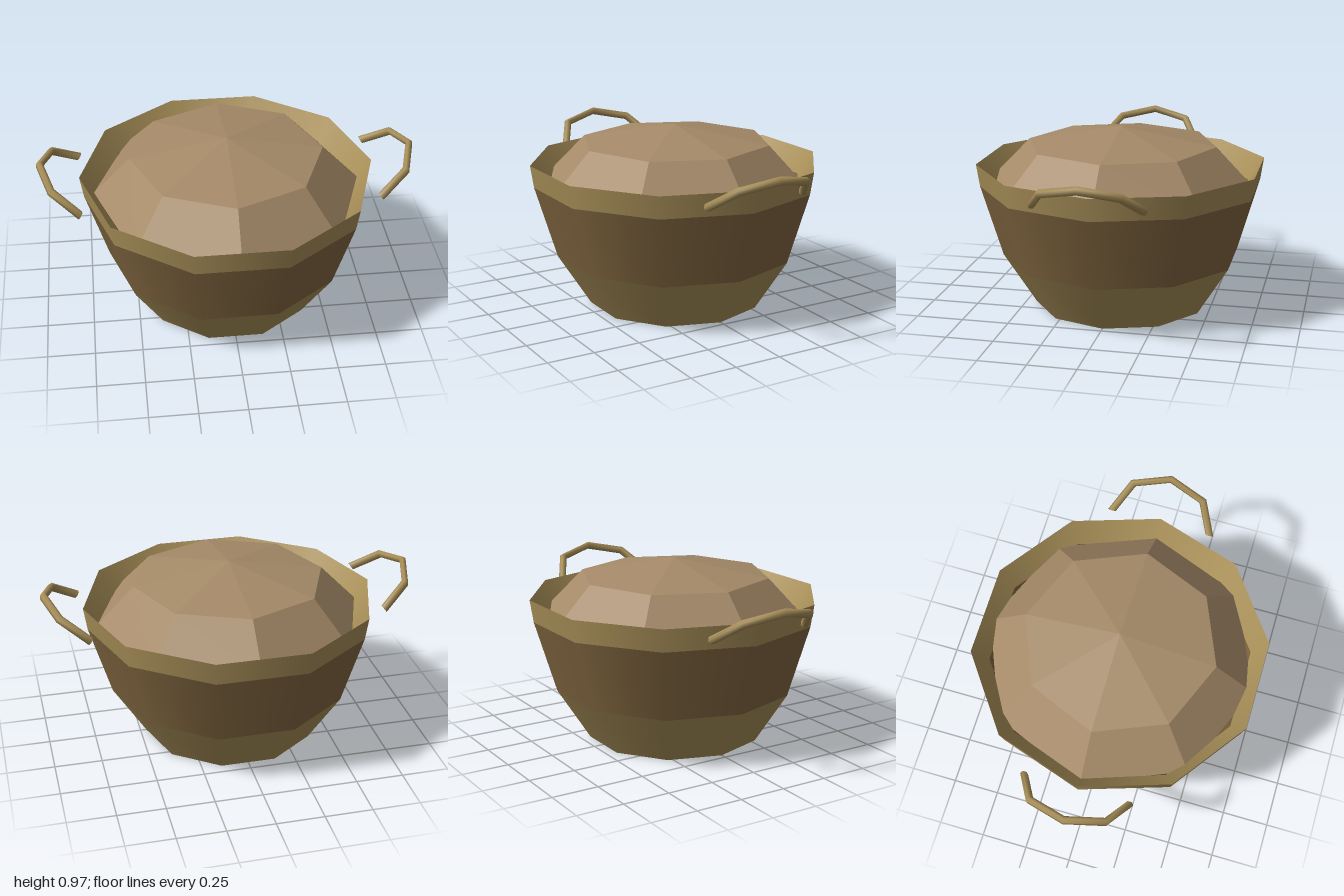
import * as THREE from 'three';

const paint = (color, flatShading = false) => new THREE.MeshStandardMaterial({ color, flatShading });

function add(parent, name, geometry, material) {
  const mesh = new THREE.Mesh(geometry, material);
  mesh.name = name;
  parent.add(mesh);
  return mesh;
}

// Ten-sided turned surface with corners on the x axis
function turned(points) {
  return new THREE.LatheGeometry(points.map(([r, y]) => new THREE.Vector2(r, y)), 10, Math.PI / 2);
}

export function createModel() {
  const model = new THREE.Group();
  const tan = paint(0xa88f58);
  const brown = paint(0x836841);
  const lidWood = paint(0xa58a68, true);

  // Bowl: three coloured bands, a base and an inner wall
  const bowl = new THREE.Group();
  bowl.name = 'bowl';
  model.add(bowl);
  add(bowl, 'base', turned([[0, 0], [0.468, 0]]), tan);
  add(bowl, 'lowerBand', turned([[0.468, 0], [0.642, 0.275]]), tan);
  add(bowl, 'middleBand', turned([[0.642, 0.275], [0.757, 0.66]]), brown);
  add(bowl, 'rimBand', turned([[0.757, 0.66], [0.775, 0.78]]), tan);
  add(bowl, 'innerRim', turned([[0.775, 0.78], [0.69, 0.66]]), tan);
  add(bowl, 'innerWall', turned([[0.69, 0.66], [0.59, 0.27], [0.42, 0.05], [0, 0.05]]), brown);

  // Faceted, flattened dome lid resting inside the rim
  const dome = new THREE.SphereGeometry(1, 8, 2, 0, Math.PI * 2, 0, Math.PI / 2);
  dome.scale(0.72, 0.307, 0.72);
  add(model, 'lid', dome, lidWood).position.y = 0.663;

  // Side handles: half rings leaning up and outwards
  const R = 0.275, r = 0.022, lean = 0.61;
  const c = Math.cos(lean), s = Math.sin(lean);
  const tilt = new THREE.Matrix4().makeBasis(
    new THREE.Vector3(0, 0, 1), new THREE.Vector3(c, s, 0), new THREE.Vector3(-s, c, 0));
  for (const [name, turn] of [['leftHandle', 0], ['rightHandle', Math.PI]]) {
    const handle = new THREE.Group();
    handle.name = name;
    handle.rotation.y = turn;
    model.add(handle);
    const ring = new THREE.TorusGeometry(R, r, 6, 4, Math.PI);
    const ends = [-R, R].map(x => new THREE.CircleGeometry(r, 6).rotateX(Math.PI / 2).translate(x, 0, 0));
    [ring, ...ends].forEach((g, i) => {
      g.scale(1, 0.875, 1).applyMatrix4(tilt).translate(0.775, 0.735, 0);
      add(handle, i ? 'handleEnd' : 'handleGrip', g, tan);
    });
  }
  return model;
}
